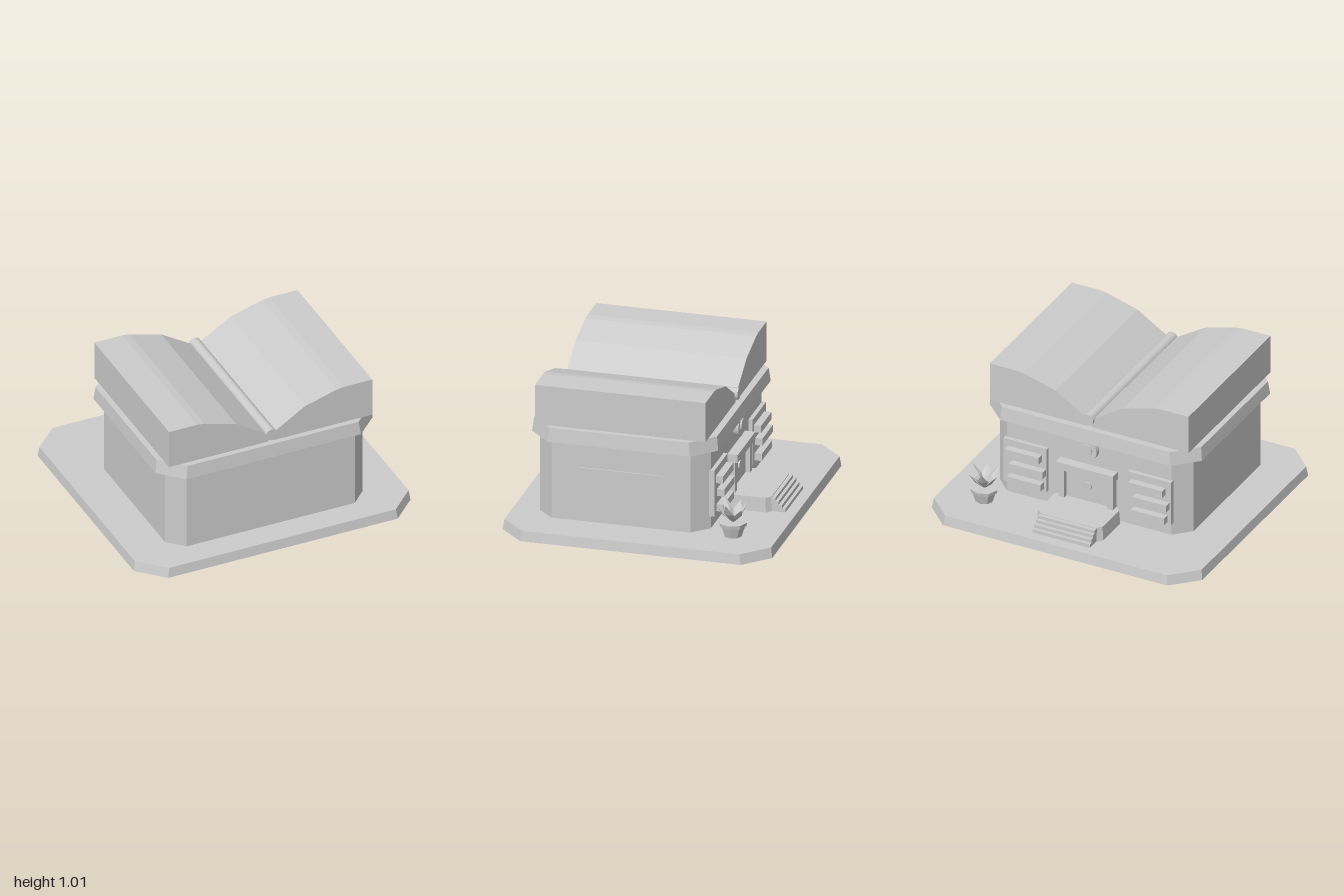
import * as THREE from 'three';

export function createModel() {
  const model = new THREE.Group();
  const stone = new THREE.MeshStandardMaterial({ color: 0xcccccc, side: THREE.DoubleSide });
  stone.name = 'pale grey';

  const add = (name, geometry, parent = model) => {
    const mesh = new THREE.Mesh(geometry, stone);
    mesh.name = name;
    parent.add(mesh);
    return mesh;
  };

  // Box given by its limits on each axis
  const box = (name, x0, x1, y0, y1, z0, z1, parent) => {
    const g = new THREE.BoxGeometry(x1 - x0, y1 - y0, z1 - z0);
    g.translate((x0 + x1) / 2, (y0 + y1) / 2, (z0 + z1) / 2);
    return add(name, g, parent);
  };

  // Upright block with cut corners; its top is drawn in by inset
  const cutBlock = (name, hx, z0, z1, y0, y1, cx, cz, inset = 0, openBelow = false) => {
    const zc = (z0 + z1) / 2, hz = (z1 - z0) / 2;
    const pts = [[hx, -hz + cz], [hx, hz - cz], [hx - cx, hz], [-hx + cx, hz],
      [-hx, hz - cz], [-hx, -hz + cz], [-hx + cx, -hz], [hx - cx, -hz]];
    const shape = new THREE.Shape(pts.map(p => new THREE.Vector2(...p)));
    const solid = new THREE.ExtrudeGeometry(shape, { depth: y1 - y0, bevelEnabled: false });
    solid.rotateX(-Math.PI / 2);
    // The first six triangles are the bottom lid
    const corners = solid.attributes.position.array.slice(openBelow ? 6 * 9 : 0);
    const g = new THREE.BufferGeometry();
    const p = new THREE.BufferAttribute(corners, 3);
    g.setAttribute('position', p);
    for (let i = 0; i < p.count; i++) {
      if (p.getY(i) < (y1 - y0) / 2) continue;
      p.setX(i, p.getX(i) - Math.sign(p.getX(i)) * inset);
      p.setZ(i, p.getZ(i) - Math.sign(p.getZ(i)) * inset);
    }
    g.computeVertexNormals();
    g.translate(0, y0, zc);
    return add(name, g);
  };

  // Disc on the back wall, facing -z
  const disc = (name, r, y, z0, z1) => {
    const g = new THREE.CylinderGeometry(r, r, z1 - z0, 20);
    g.rotateX(Math.PI / 2);
    g.translate(0, y, (z0 + z1) / 2);
    return add(name, g);
  };

  // Hollow ground slab, walls and cornice
  cutBlock('base', 1, -0.919, 0.919, 0, 0.07, 0.17, 0.168, 0.01, true);
  cutBlock('walls', 0.715, -0.437, 0.727, 0.07, 0.64, 0.107, 0.108);
  cutBlock('cornice', 0.785, -0.494, 0.775, 0.635, 0.73, 0.155, 0.15, 0.011);

  // Open book roof: two curved page blocks and a round spine
  const profile = [[0.016, 0.73], [0.735, 0.73], [0.735, 1.007], [0.53, 1.007], [0.48, 1.001],
    [0.39, 0.975], [0.25, 0.935], [0.035, 0.8], [0.016, 0.785]];
  for (const side of [1, -1]) {
    const pts = profile.map(([x, y]) => new THREE.Vector2(side * x, y));
    const g = new THREE.ExtrudeGeometry(new THREE.Shape(pts), { depth: 1.163, bevelEnabled: false });
    g.translate(0, 0, -0.437);
    add(side > 0 ? 'leftPages' : 'rightPages', g);
  }
  disc('bookSpine', 0.04, 0.787, -0.457, 0.74);

  // Plaque on the left wall
  box('sidePlaque', 0.71, 0.724, 0.31, 0.45, -0.15, 0.43);

  // Landing and steps; the steps sink into the hollow slab
  cutBlock('landing', 0.245, -0.745, -0.43, 0.07, 0.17, 0.035, 0.035, 0.006);
  const steps = new THREE.Group();
  steps.name = 'steps';
  model.add(steps);
  [[-0.765, 0.165], [-0.787, 0.143], [-0.81, 0.119], [-0.833, 0.095]].forEach(([z, y]) =>
    box('step', -0.212, 0.212, y - 0.09, y, z, -0.735, steps));

  // Doorway
  box('door', -0.16, 0.16, 0.17, 0.39, -0.457, -0.43);
  disc('doorKnob', 0.03, 0.285, -0.468, -0.45);
  for (const x of [-0.18, 0.18]) box('doorPost', x - 0.022, x + 0.022, 0.17, 0.39, -0.488, -0.43);
  box('lintel', -0.212, 0.212, 0.385, 0.44, -0.508, -0.43);

  // Round emblem above the door
  disc('emblemDisc', 0.075, 0.565, -0.475, -0.43);
  disc('emblemCentre', 0.043, 0.57, -0.486, -0.46);

  // Wall panels carrying staggered shelves
  for (const [panelX, shelfX] of [[0.46, 0.445], [-0.46, -0.47]]) {
    const rack = new THREE.Group();
    rack.name = 'shelfRack';
    model.add(rack);
    box('rackPanel', panelX - 0.16, panelX + 0.16, 0.16, 0.485, -0.465, -0.43, rack);
    [[0.385, 0.015], [0.282, -0.015], [0.18, 0]].forEach(([y, dx]) =>
      box('shelf', shelfX + dx - 0.125, shelfX + dx + 0.125, y, y + 0.05, -0.514, -0.46, rack));
  }

  // Potted plant
  const plant = new THREE.Group();
  plant.name = 'pottedPlant';
  plant.position.set(0.685, 0.07, -0.61);
  model.add(plant);
  const flat = (g) => { const n = g.toNonIndexed(); n.computeVertexNormals(); return n; };
  add('pot', flat(new THREE.CylinderGeometry(0.085, 0.06, 0.08, 8)), plant).position.y = 0.04;
  add('potRim', flat(new THREE.CylinderGeometry(0.097, 0.092, 0.025, 8)), plant).position.y = 0.0875;
  const leaf = (angle, tilt, length) => {
    const g = new THREE.OctahedronGeometry(1);
    g.scale(0.038, length / 2, 0.012);
    g.translate(0, length / 2, 0);
    g.rotateX(tilt);
    g.rotateY(angle);
    g.translate(0, 0.09, 0);
    g.computeVertexNormals();
    add('leaf', g, plant);
  };
  for (let i = 0; i < 6; i++) leaf(i * Math.PI / 3 + 0.3, i % 2 ? 0.6 : 0.72, i % 2 ? 0.19 : 0.165);

  return model;
}
